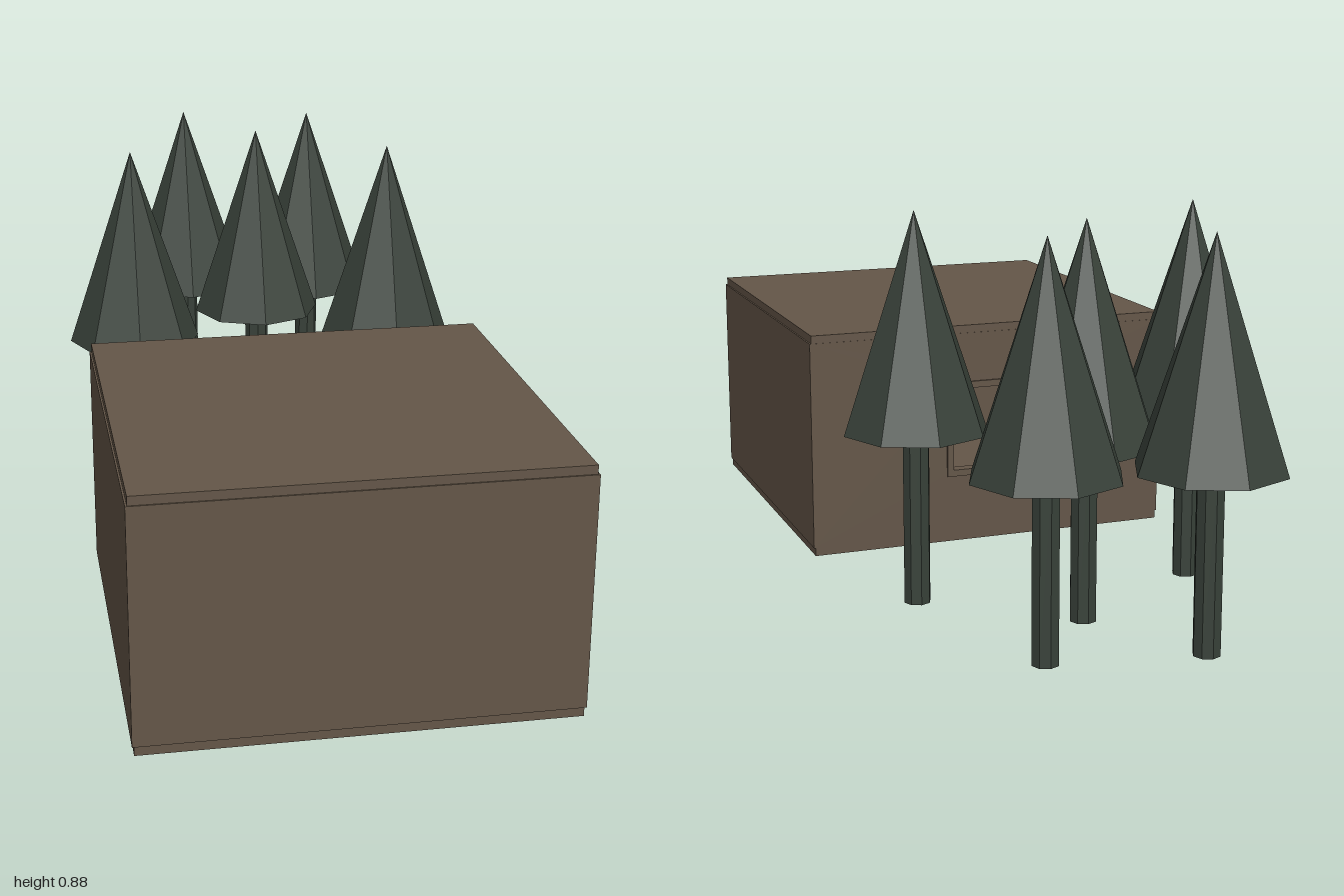
import * as THREE from 'three';

const brown = new THREE.MeshStandardMaterial({ name: 'brownWall', color: 0x645648, flatShading: true });
const green = new THREE.MeshStandardMaterial({ name: 'darkGreen', color: 0x39423a, flatShading: true });

function add(parent, name, geometry, material, x, y, z) {
  const mesh = new THREE.Mesh(geometry, material);
  mesh.name = name;
  mesh.position.set(x, y, z);
  parent.add(mesh);
  return mesh;
}

// Upright panel in the xy plane with a rectangular hole, thickness along +z
function panelWithHole(x0, x1, y0, y1, hx0, hx1, hy0, hy1, depth) {
  const rect = (C, a, b, c, d) => {
    const p = new C();
    p.moveTo(a, c); p.lineTo(b, c); p.lineTo(b, d); p.lineTo(a, d); p.closePath();
    return p;
  };
  const shape = rect(THREE.Shape, x0, x1, y0, y1);
  shape.holes.push(rect(THREE.Path, hx0, hx1, hy0, hy1));
  return new THREE.ExtrudeGeometry(shape, { depth, bevelEnabled: false });
}

function createRoom() {
  const room = new THREE.Group();
  room.name = 'room';
  const cx = -0.01, cz = 0.548, t = 0.02;

  // Floor and ceiling slabs, slightly inset from the walls
  for (const [name, y] of [['floor', 0.01], ['ceiling', 0.529]])
    add(room, name, new THREE.BoxGeometry(0.898, t, 0.898), brown, cx, y, cz);

  // Solid walls
  for (const [name, s] of [['leftWall', 1], ['rightWall', -1]])
    add(room, name, new THREE.BoxGeometry(t, 0.5, 0.864), brown, cx + s * 0.443, 0.27, cz);
  add(room, 'frontWall', new THREE.BoxGeometry(0.906, 0.5, t), brown, cx, 0.27, 0.99);

  // Back wall with the window opening and its thin frame
  const hole = [-0.112, 0.092, 0.177, 0.388];
  add(room, 'backWall', panelWithHole(-0.463, 0.443, 0.02, 0.52, ...hole, t), brown, 0, 0, 0.098);
  add(room, 'windowFrame',
    panelWithHole(-0.124, 0.104, 0.165, 0.4, -0.108, 0.088, 0.181, 0.384, 0.03), brown, 0, 0, 0.093);
  return room;
}

function createTree(x, z) {
  const tree = new THREE.Group();
  tree.name = 'tree';
  tree.position.set(x, 0, z);
  add(tree, 'trunk', new THREE.CylinderGeometry(0.03, 0.03, 0.39, 8), green, 0, 0.205, 0);
  add(tree, 'foliage', new THREE.ConeGeometry(0.162, 0.48, 8), green, 0, 0.64, 0);
  return tree;
}

export function createModel() {
  const model = new THREE.Group();
  model.name = 'roomWithTrees';
  model.add(createRoom());

  // Small grove behind the window
  const spots = [[-0.13, -0.838], [0.198, -0.77], [0.025, -0.56], [-0.32, -0.355], [0.32, -0.32]];
  for (const [x, z] of spots) model.add(createTree(x, z));
  return model;
}
